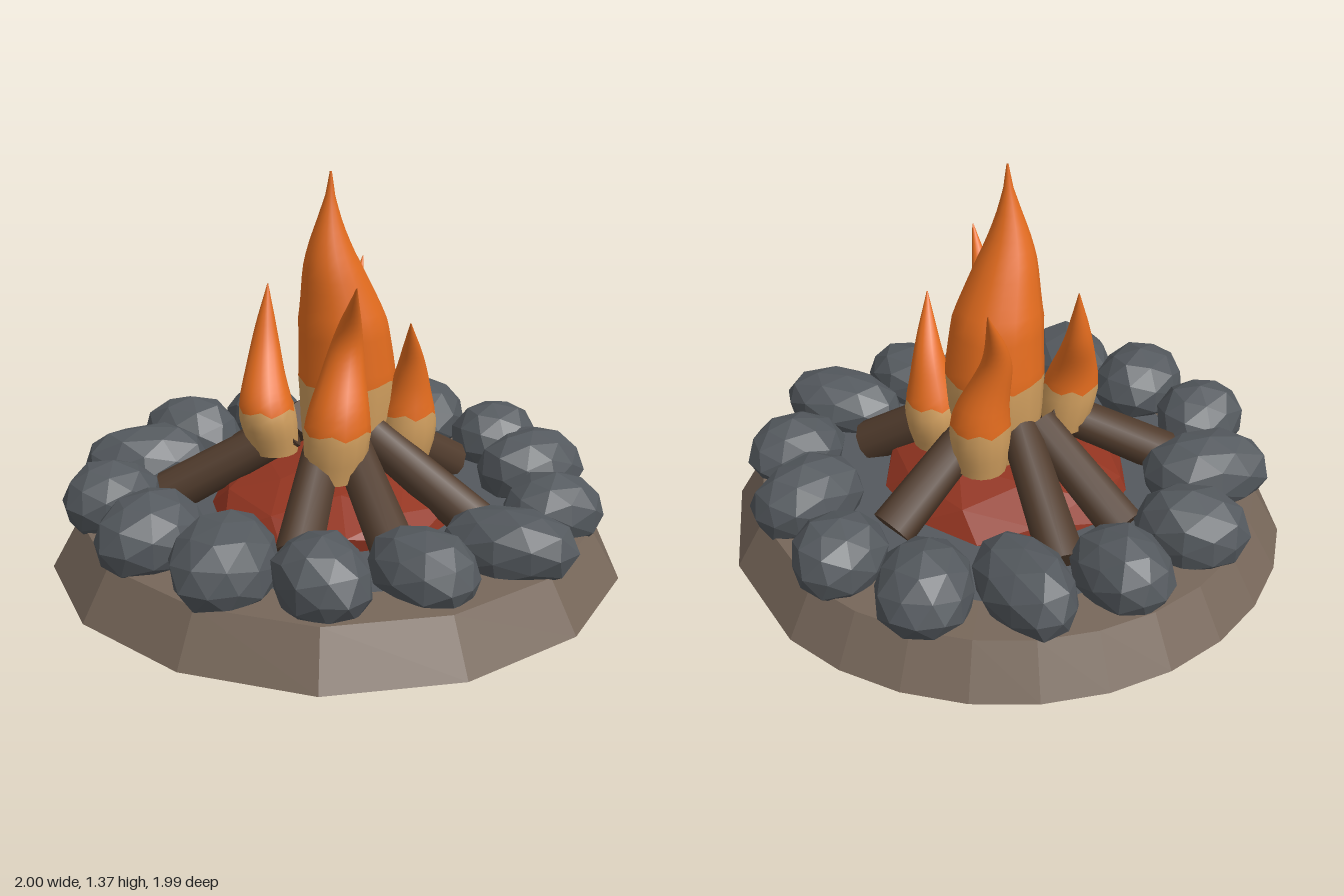
import * as THREE from 'three';

const mat = (name, color, extra = {}) =>
  Object.assign(new THREE.MeshStandardMaterial({ color, ...extra }), { name });

const V = (x, y, z) => new THREE.Vector3(x, y, z);

// Faceted lump: a subdivided icosahedron with slightly uneven corners;
// "under" flattens its lower half
function lump(seed, amount, under = 1) {
  const g = new THREE.IcosahedronGeometry(1, 1);
  const p = g.attributes.position;
  for (let i = 0; i < p.count; i++) {
    const v = V().fromBufferAttribute(p, i);
    const s = 1 + amount * Math.sin(5 * v.x + 7 * v.y + 9 * v.z + seed * 2.3);
    p.setXYZ(i, v.x * s, v.y * s * (v.y < 0 ? under : 1), v.z * s);
  }
  g.computeVertexNormals();
  return g;
}

// Radius along a flame, from base to tip
const MAIN = [[0, 0.8], [0.15, 0.96], [0.3, 1], [0.5, 0.9], [0.68, 0.6], [0.84, 0.25], [0.92, 0.1], [1, 0.02]];
const LICK = [[0, 0.8], [0.15, 0.97], [0.25, 1], [0.35, 0.9], [0.5, 0.68], [0.65, 0.49], [0.8, 0.3], [0.92, 0.13], [1, 0.02]];
function flameRadius(profile, t) {
  const i = profile.findIndex(([u], k) => k > 0 && t <= u + 1e-6);
  const [a, ra] = profile[i - 1], [b, rb] = profile[i];
  return THREE.MathUtils.lerp(ra, rb, (t - a) / (b - a));
}

// Rings lofted along a bent path; rows below the split use material group 1
function flameGeometry(profile, points, radius, split) {
  const curve = new THREE.CatmullRomCurve3(points);
  const y0 = points[0].y, y1 = points[points.length - 1].y;
  const ts = (split - y0) / (y1 - y0);
  const sides = 16, low = 5, high = 18, rows = low + high;
  const pos = [], idx = [];
  for (let r = 0; r <= rows; r++) {
    const t = r <= low ? ts * r / low : ts + (1 - ts) * (r - low) / high;
    const c = curve.getPoint(t), R = radius * flameRadius(profile, t);
    for (let s = 0; s < sides; s++) {
      const a = s / sides * Math.PI * 2;
      const jag = r === low ? 0.012 * Math.sin(s * 2.4) : 0;
      pos.push(c.x + R * Math.sin(a), c.y + jag, c.z + R * Math.cos(a));
    }
  }
  for (let r = 0; r < rows; r++) {
    for (let s = 0; s < sides; s++) {
      const n = (s + 1) % sides, a = r * sides + s, b = r * sides + n;
      idx.push(a, b, b + sides, a, b + sides, a + sides);
    }
  }
  const g = new THREE.BufferGeometry();
  g.setAttribute('position', new THREE.Float32BufferAttribute(pos, 3));
  g.setIndex(idx);
  g.addGroup(0, low * sides * 6, 1);
  g.addGroup(low * sides * 6, high * sides * 6, 0);
  g.computeVertexNormals();
  return g;
}

export function createModel() {
  const root = new THREE.Group();
  root.name = 'campfire';

  const earth = mat('earth', 0x77675a, { flatShading: true, side: THREE.DoubleSide });
  const stone = mat('stone', 0x54595e, { flatShading: true, side: THREE.DoubleSide });
  const wood = mat('wood', 0x513c2d);
  const ember = mat('ember', 0x933521, { flatShading: true });
  const orange = mat('flameOrange', 0xe46c1e, { side: THREE.DoubleSide });
  const yellow = mat('flameYellow', 0xd09e5e, { side: THREE.DoubleSide });

  const add = (name, geometry, material, parent = root) => {
    const m = new THREE.Mesh(geometry, material);
    m.name = name;
    parent.add(m);
    return m;
  };
  const addGroup = name => {
    const g = new THREE.Group();
    g.name = name;
    root.add(g);
    return g;
  };

  // Sloping earth rim with a flat ledge, finer around the back right
  const angles = [];
  for (let i = 0; i < 28; i++) {
    if (i % 2 === 0 || i > 17) angles.push(i / 28 * Math.PI * 2);
  }
  const rings = [[1, 0], [0.9, 0.172], [0.72, 0.176]];
  const pos = [], idx = [], n = angles.length;
  for (const [r, y] of rings) {
    for (const a of angles) {
      const R = Math.sin(a) > 0.5 ? r * 1.018 : r;
      pos.push(R * Math.cos(a), y, R * Math.sin(a));
    }
  }
  for (let k = 0; k < rings.length - 1; k++) {
    for (let i = 0; i < n; i++) {
      const a = k * n + i, b = k * n + (i + 1) % n;
      idx.push(a, b + n, b, a, a + n, b + n);
    }
  }
  const rim = new THREE.BufferGeometry();
  rim.setAttribute('position', new THREE.Float32BufferAttribute(pos, 3));
  rim.setIndex(idx);
  rim.computeVertexNormals();
  add('earthRim', rim, earth);

  // Ash floor inside the ledge
  const floor = add('ashFloor', new THREE.CircleGeometry(0.73, 28), stone);
  floor.rotation.x = -Math.PI / 2;
  floor.position.y = 0.174;

  // Ember bed, domed above and shallow below
  const bed = add('emberBed', lump(3, 0.04, 0.35), ember);
  bed.scale.set(0.445, 0.16, 0.46);
  bed.position.set(0, 0.18, 0);

  // Ring of stones: x, y, z, half length, half width, heading in degrees
  const stones = [
    [-0.15, 0.24, -0.73, 0.2, 0.16, 60], [0.18, 0.235, -0.72, 0.185, 0.15, 90],
    [0.46, 0.24, -0.55, 0.235, 0.15, 105], [0.7, 0.245, -0.34, 0.2, 0.165, -40],
    [0.78, 0.235, -0.01, 0.175, 0.155, -10], [0.67, 0.24, 0.31, 0.205, 0.155, 10],
    [0.5, 0.225, 0.6, 0.185, 0.155, 20], [0.17, 0.225, 0.72, 0.235, 0.15, 60],
    [-0.15, 0.225, 0.69, 0.2, 0.15, 80], [-0.47, 0.24, 0.58, 0.185, 0.155, 100],
    [-0.65, 0.24, 0.31, 0.225, 0.175, -45], [-0.74, 0.245, 0, 0.2, 0.17, -10],
    [-0.71, 0.24, -0.33, 0.18, 0.155, 0], [-0.45, 0.24, -0.56, 0.235, 0.16, 30],
  ];
  const stoneRing = addGroup('stoneRing');
  stones.forEach(([x, y, z, l, w, deg], i) => {
    const s = add('stone', lump(i, 0.04), stone, stoneRing);
    s.position.set(x, y, z);
    s.scale.set(l, i > 5 && i < 9 ? 0.132 : 0.148, w);
    s.rotation.set(0, -deg * Math.PI / 180, 0.08 * Math.sin(i * 2));
  });

  // Logs leaning in towards the centre, given by their outer ends
  const logs = addGroup('logs');
  for (const [x, z] of [[-0.03, -0.54], [0.26, -0.53], [0.54, 0.01], [0.25, 0.48],
    [-0.13, 0.52], [-0.4, 0.35], [-0.48, -0.35]]) {
    const len = Math.hypot(x, z), k = 0.15 / len;
    const outer = V(x, 0.2, z), inner = V(x * k, 0.45, z * k);
    const log = add('log', new THREE.CylinderGeometry(0.069, 0.08, outer.distanceTo(inner), 10), wood, logs);
    log.position.copy(outer).lerp(inner, 0.5);
    log.quaternion.setFromUnitVectors(V(0, 1, 0), inner.clone().sub(outer).normalize());
  }

  // Tall central flame with four licks around it
  const flames = addGroup('flames');
  const flame = (name, profile, radius, split, ...pts) =>
    add(name, flameGeometry(profile, pts.map(p => V(...p)), radius, split), [orange, yellow], flames);
  flame('mainFlame', MAIN, 0.175, 0.64,
    [0.05, 0.32, 0], [0.06, 0.58, 0], [0.035, 0.845, 0.005], [-0.022, 1.108, 0.01], [-0.03, 1.37, 0.025]);
  flame('frontLeftFlame', LICK, 0.105, 0.52,
    [0.2, 0.34, 0.15], [0.21, 0.52, 0.155], [0.195, 0.7, 0.19], [0.13, 0.875, 0.26]);
  flame('frontRightFlame', LICK, 0.115, 0.53,
    [-0.13, 0.36, 0.18], [-0.11, 0.59, 0.18], [-0.06, 0.82, 0.16], [-0.12, 1.04, 0.29]);
  flame('backLeftFlame', LICK, 0.108, 0.52,
    [0.2, 0.34, -0.08], [0.2, 0.56, -0.08], [0.18, 0.78, -0.135], [0.27, 1.0, -0.19]);
  flame('backRightFlame', LICK, 0.102, 0.54,
    [-0.17, 0.37, -0.12], [-0.2, 0.56, -0.13], [-0.155, 0.76, -0.195], [-0.125, 0.95, -0.22]);

  return root;
}
